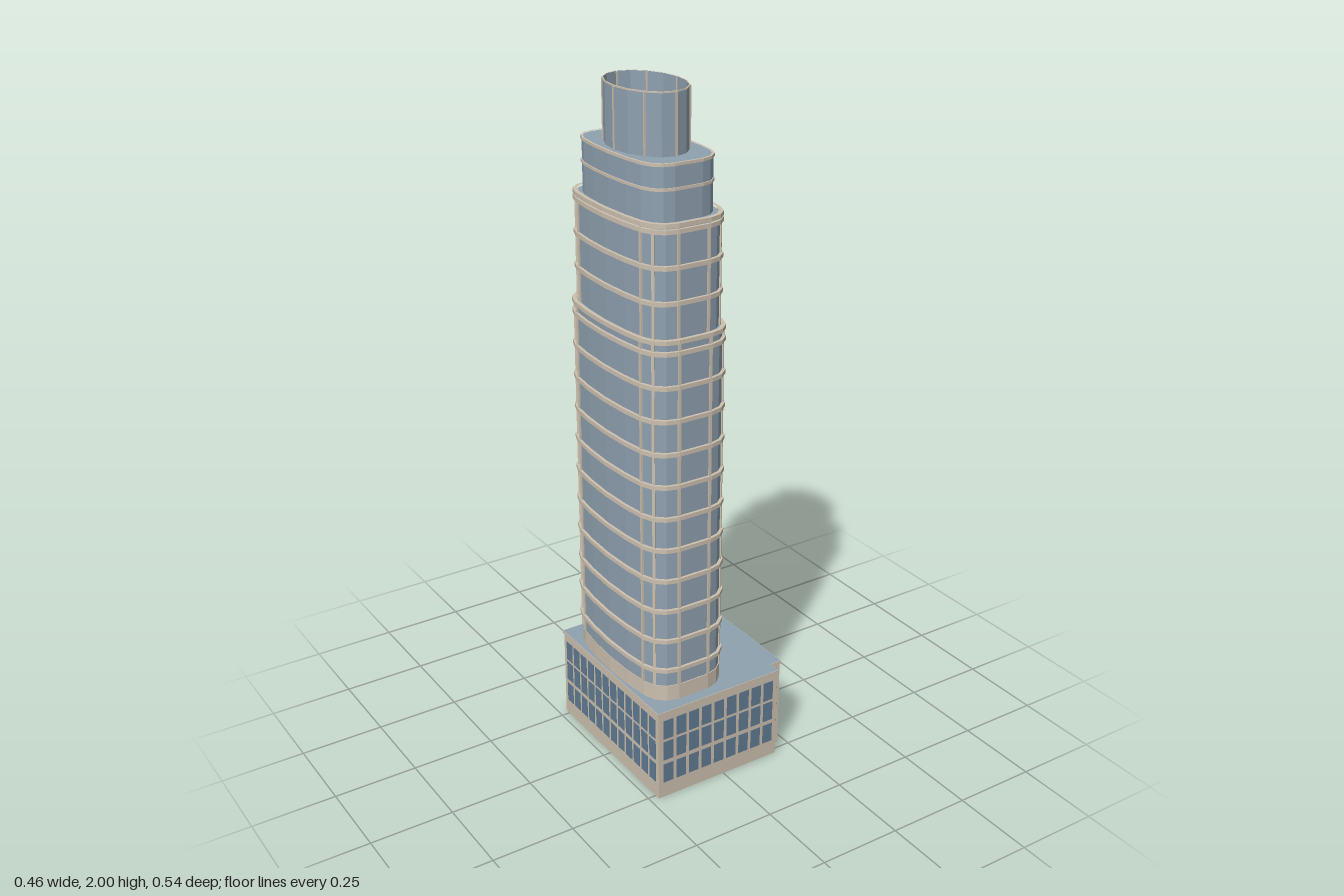
import * as THREE from 'three';

const CX = -0.085; // tower axis, offset from the podium centre

function material(name, color, side = THREE.FrontSide) {
  const m = new THREE.MeshStandardMaterial({ color, side });
  m.name = name;
  return m;
}

// Rounded tower plan: a quarter outline mirrored into a closed loop of [x, z]
const QUARTER = [[1, 0], [0.97, 0.4], [0.905, 0.7], [0.8, 0.86], [0.61, 0.96], [0.36, 1]];
function towerPlan(hx, hz) {
  const q = QUARTER;
  const r = [...q].reverse();
  const loop = [
    ...q,
    ...r.map(([x, z]) => [-x, z]),
    ...q.slice(1).map(([x, z]) => [-x, -z]),
    ...r.slice(0, -1).map(([x, z]) => [x, -z]),
  ];
  return loop.map(([x, z]) => [CX + x * hx, z * hz]);
}

function ellipsePlan(hx, hz, n = 16) {
  return Array.from({ length: n }, (_, i) => {
    const a = (i / n) * Math.PI * 2;
    return [CX + Math.cos(a) * hx, Math.sin(a) * hz];
  });
}

const toPoints = (plan) => plan.map(([x, z]) => new THREE.Vector2(x, -z));

// Solid prism, or a band when an inner plan is given
function prism(plan, y0, y1, inner) {
  const shape = new THREE.Shape(toPoints(plan));
  if (inner) shape.holes.push(new THREE.Path(toPoints(inner)));
  const g = new THREE.ExtrudeGeometry(shape, { depth: y1 - y0, bevelEnabled: false });
  g.rotateX(-Math.PI / 2);
  g.translate(0, y0, 0);
  return g;
}

// Open wall strip around a plan, without top or bottom
function walls(plan, y0, y1) {
  const pos = [];
  plan.forEach(([ax, az], i) => {
    const [bx, bz] = plan[(i + 1) % plan.length];
    pos.push(ax, y0, az, bx, y1, bz, bx, y0, bz, ax, y0, az, ax, y1, az, bx, y1, bz);
  });
  const g = new THREE.BufferGeometry();
  g.setAttribute('position', new THREE.Float32BufferAttribute(pos, 3));
  g.computeVertexNormals();
  return g;
}

export function createModel() {
  const root = new THREE.Group();
  root.name = 'tower';
  const trim = material('beige stone', 0xcdc1b0);
  const stone = material('beige stone wall', 0xcdc1b0, THREE.DoubleSide);
  const glass = material('blue grey glass', 0x8fa1b0);
  const glassOpen = material('blue grey open glass', 0x8fa1b0, THREE.DoubleSide);
  const pane = material('dark blue window', 0x617b93);

  const add = (parent, name, geometry, mat) => {
    const m = new THREE.Mesh(geometry, mat);
    m.name = name;
    parent.add(m);
    return m;
  };

  // Podium: open-bottomed shell with one notched corner
  const podium = new THREE.Group();
  podium.name = 'podium';
  root.add(podium);
  const X = 0.225, Z = 0.267, NX = 0.188, NZ = 0.229, H = 0.285;
  const notched = (e) => [
    [-X - e, -Z - e], [-X - e, Z + e], [NX + e, Z + e],
    [NX + e, NZ + e], [X + e, NZ + e], [X + e, -Z - e],
  ];
  add(podium, 'podiumWalls', walls(notched(0), 0, H), stone);
  const roofShape = new THREE.ShapeGeometry(new THREE.Shape(toPoints(notched(0.002))));
  roofShape.rotateX(-Math.PI / 2);
  add(podium, 'podiumRoof', roofShape, glassOpen).position.y = 0.29;
  add(podium, 'podiumCornice', prism(notched(0.003), H - 0.005, 0.2895, notched(-0.001)), trim);

  // Podium windows: three rows of panes on each face
  const ROWS = [0.081, 0.157, 0.228];
  function windows(name, ax, az, bx, bz, count) {
    const group = new THREE.Group();
    group.name = name;
    const len = Math.hypot(bx - ax, bz - az);
    const pitch = len / count;
    const angle = Math.atan2(-(bz - az), bx - ax);
    const geo = new THREE.BoxGeometry(pitch * 0.76, 0.062, 0.003);
    for (let i = 0; i < count; i++) {
      const t = (i + 0.5) / count;
      for (const y of ROWS) {
        const w = add(group, 'window', geo, pane);
        w.position.set(ax + (bx - ax) * t, y, az + (bz - az) * t);
        w.rotation.y = angle;
      }
    }
    podium.add(group);
  }
  windows('frontWindows', -0.214, Z, 0.178, Z, 9);
  windows('leftWindows', X, 0.22, X, -0.257, 11);
  windows('backWindows', 0.214, -Z, -0.214, -Z, 10);
  windows('rightWindows', -X, -0.257, -X, 0.257, 12);
  windows('notchFrontWindows', 0.195, NZ, 0.219, NZ, 1);
  windows('notchSideWindows', NX, 0.261, NX, 0.235, 1);

  // Stone plinth under the tower
  add(root, 'plinth', prism(towerPlan(0.137, 0.235), 0.289, 0.338), trim);

  // Stepped glass tiers with floor bands and vertical mullions
  const bandList = (start, n) => Array.from({ length: n }, (_, i) => start + i * 0.0955);
  const tiers = [
    { name: 'lowerTier', hx: 0.136, hz: 0.232, y0: 0.338, y1: 1.38, out: 0.008, bands: [...bandList(0.39, 11), 1.377], ribs: true },
    { name: 'middleTier', hx: 0.128, hz: 0.223, y0: 1.38, y1: 1.685, out: 0.008, bands: [...bandList(1.478, 3), 1.685], ribs: true },
    { name: 'upperTier', hx: 0.116, hz: 0.2, y0: 1.685, y1: 1.835, out: 0.003, bands: [1.77, 1.833], ribs: false },
  ];
  for (const t of tiers) {
    const group = new THREE.Group();
    group.name = t.name;
    root.add(group);
    const plan = towerPlan(t.hx, t.hz);
    add(group, 'glassBody', prism(plan, t.y0, t.y1), glass);
    const outer = towerPlan(t.hx + t.out, t.hz + t.out);
    const inner = towerPlan(t.hx - 0.003, t.hz - 0.003);
    const h = t.ribs ? 0.006 : 0.004;
    for (const y of t.bands) add(group, 'floorBand', prism(outer, y - h, y + h, inner), trim);
    if (!t.ribs) continue;
    const rib = new THREE.BoxGeometry(0.008, t.y1 - t.y0, 0.008);
    for (const k of [2, 3, 5]) {
      for (const sx of [-1, 1]) for (const sz of [-1, 1]) {
        const [qx, qz] = QUARTER[k];
        const m = add(group, 'mullion', rib, trim);
        m.position.set(CX + sx * qx * t.hx, (t.y0 + t.y1) / 2, sz * qz * t.hz);
        m.rotation.y = k === 3 ? Math.PI / 4 : 0;
      }
    }
  }

  // Hollow elliptical crown, open at the top
  const crown = new THREE.Group();
  crown.name = 'crown';
  root.add(crown);
  const ring = ellipsePlan(0.096, 0.143);
  add(crown, 'crownWall', walls(ring, 1.835, 1.999), glassOpen);
  add(crown, 'crownRim', prism(ellipsePlan(0.0975, 0.1445), 1.996, 2, ellipsePlan(0.094, 0.141)), trim);
  const post = new THREE.BoxGeometry(0.005, 0.162, 0.005);
  ring.forEach(([x, z], i) => {
    if (i % 2 === 0) add(crown, 'crownMullion', post, trim).position.set(x, 1.917, z);
  });
  return root;
}
